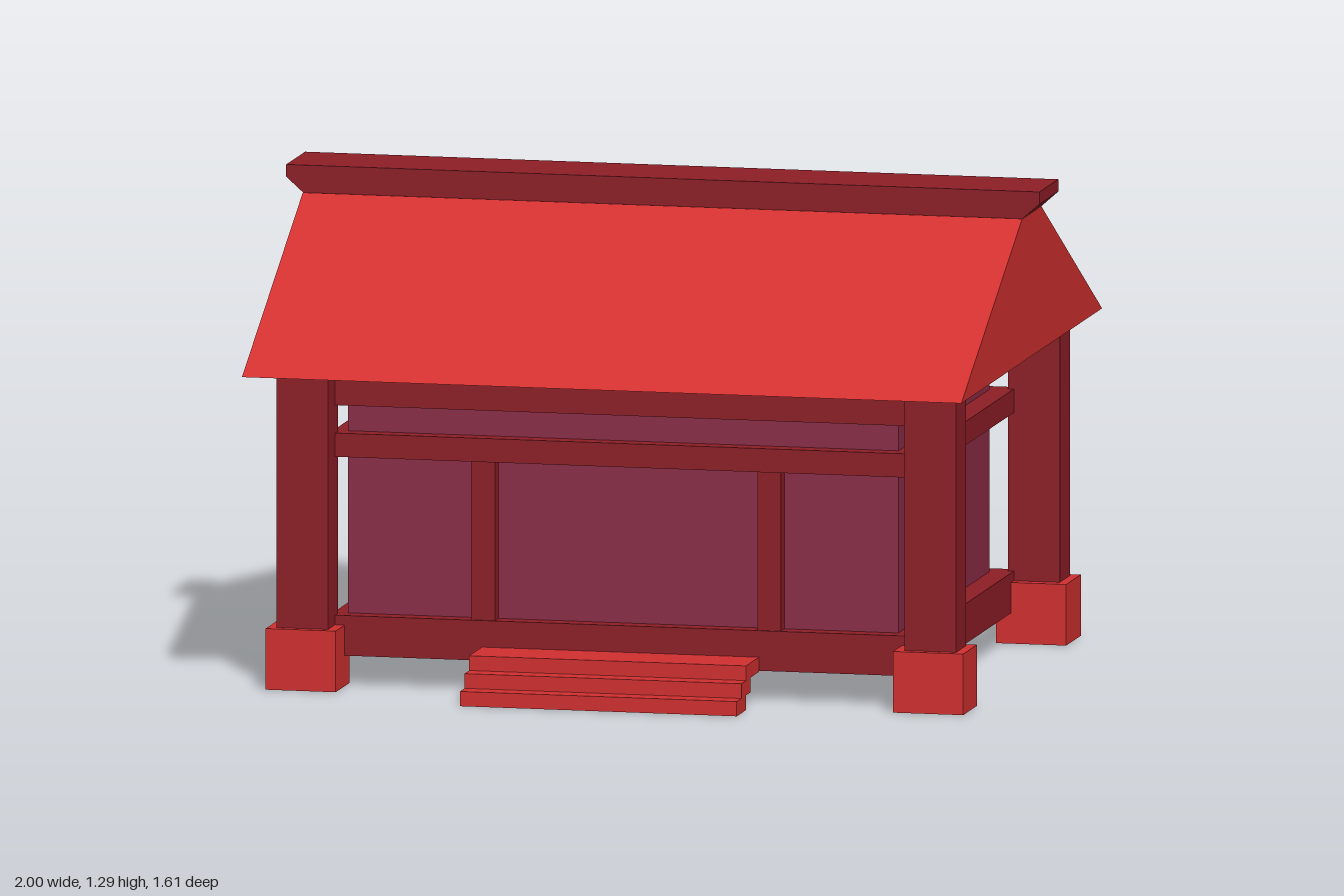
import * as THREE from 'three';

const mat = (color) => new THREE.MeshStandardMaterial({ color, flatShading: true });

export function createModel() {
  const model = new THREE.Group();
  const red = mat(0xd32f2f);
  const maroon = mat(0x8e1e26);
  const plum = mat(0x8c2c47);

  const add = (name, geometry, material, parent = model) => {
    const mesh = new THREE.Mesh(geometry, material);
    mesh.name = name;
    parent.add(mesh);
    return mesh;
  };

  // Box given by its limits on each axis
  const box = (name, material, [x0, x1], [y0, y1], [z0, z1], parent) => {
    const g = new THREE.BoxGeometry(x1 - x0, y1 - y0, z1 - z0);
    g.translate((x0 + x1) / 2, (y0 + y1) / 2, (z0 + z1) / 2);
    return add(name, g, material, parent);
  };

  // Profile extruded symmetrically about its own plane
  const prism = (points, depth) => {
    const shape = new THREE.Shape(points.map(([x, y]) => new THREE.Vector2(x, y)));
    const g = new THREE.ExtrudeGeometry(shape, { depth, bevelEnabled: false });
    return g.translate(0, 0, -depth / 2);
  };

  // Floor and horizontal beams wrapping the room
  const beamX = [-0.78, 0.78], beamZ = [-0.58, 0.555];
  box('floor', maroon, beamX, [0.08, 0.185], beamZ);
  box('middleRail', maroon, beamX, [0.6, 0.662], beamZ);
  box('topBeam', maroon, beamX, [0.735, 0.842], beamZ);

  // Room walls, set back from the beams
  box('walls', plum, [-0.742, 0.72], [0.18, 0.74], [-0.527, 0.51]);

  // Door jambs on the front
  box('rightDoorJamb', maroon, [-0.405, -0.342], [0.185, 0.6], [0.5, 0.55]);
  box('leftDoorJamb', maroon, [0.355, 0.417], [0.185, 0.6], [0.5, 0.55]);

  // Corner posts on stone footings
  for (const side of [-1, 1]) {
    for (const [end, postZ, footZ] of [
      ['front', [0.523, 0.635], [0.5, 0.657]],
      ['back', [-0.663, -0.548], [-0.685, -0.518]],
    ]) {
      const corner = new THREE.Group();
      corner.name = end + (side > 0 ? 'Left' : 'Right') + 'Corner';
      model.add(corner);
      const spanX = (a, b) => (side > 0 ? [a, b] : [-b, -a]);
      box('post', maroon, spanX(0.765, 0.902), [0.15, 0.842], postZ, corner);
      box('footing', red, spanX(0.74, 0.926), [0, 0.16], footZ, corner);
    }
  }

  // Three front steps
  const steps = new THREE.Group();
  steps.name = 'steps';
  model.add(steps);
  [[0.705, 0.808], [0.65, 0.755], [0.555, 0.702]].forEach((z, i) => {
    box('step', red, [-0.375, 0.36], [0.0385 * i, 0.0385 * (i + 1)], z, steps);
  });

  // Roof with a flat top, running along x
  const roof = prism([[-0.803, 0.84], [0.803, 0.84], [0.11, 1.215], [-0.11, 1.215]], 1.91);
  add('roof', roof.rotateY(Math.PI / 2), red);

  // Ridge beam with undercut ends
  const ridge = prism([
    [-0.955, 1.215], [0.955, 1.215], [1, 1.255], [1, 1.287], [-1, 1.287], [-1, 1.255],
  ], 0.215);
  add('ridgeBeam', ridge.translate(0, 0, -0.003), maroon);

  return model;
}
